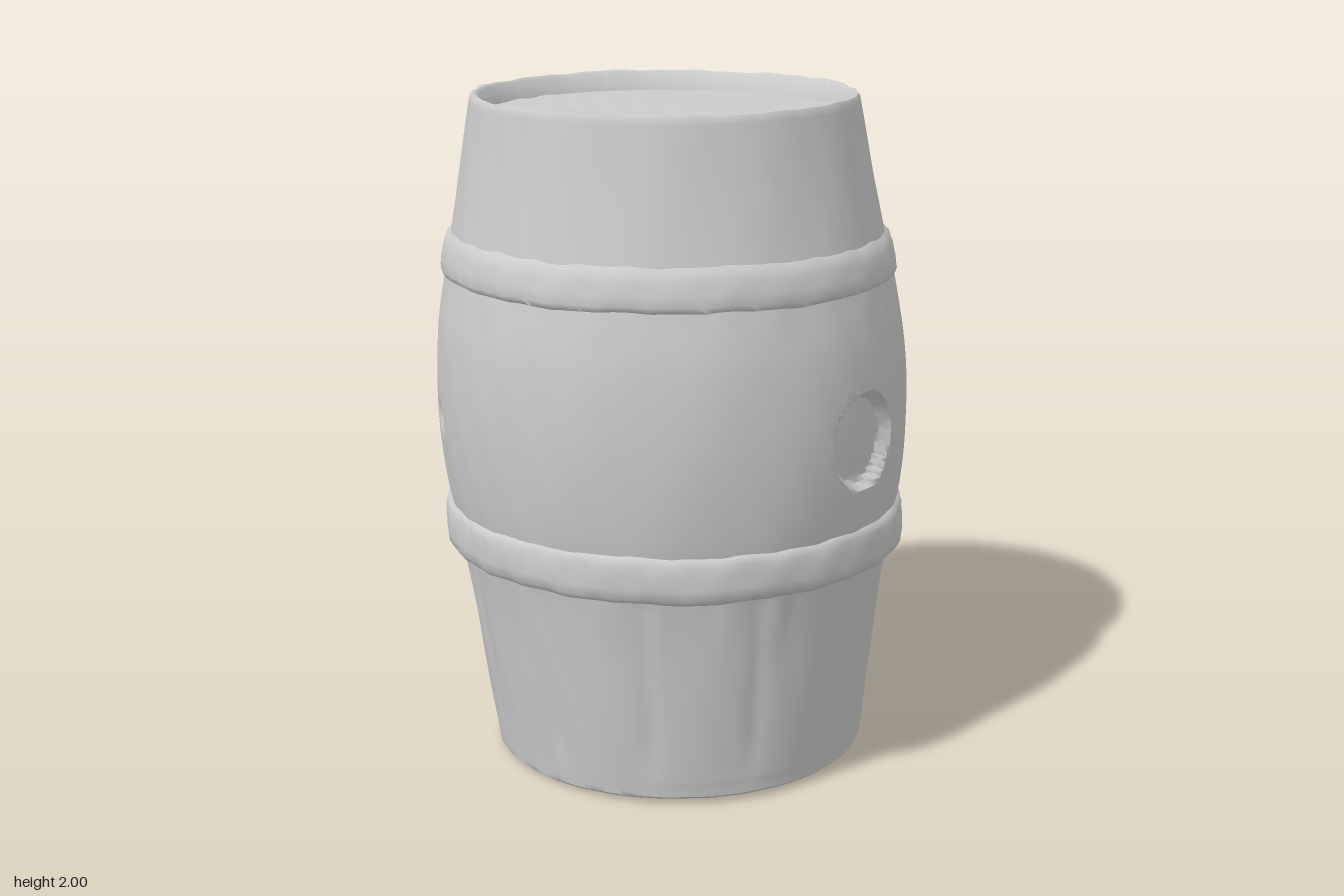
import * as THREE from 'three';
import { mergeVertices, toCreasedNormals } from 'three/addons/utils/BufferGeometryUtils.js';

const SEGMENTS = 240;
const ss = THREE.MathUtils.smoothstep;

// Smooth, repeatable unevenness around the barrel
const wobble = (a, y) =>
  Math.sin(5 * a + 4 * y) * 0.4 + Math.sin(13 * a - 7 * y + 1) * 0.35 + Math.sin(29 * a + 17 * y + 2) * 0.25;

// The barrel leans very slightly
const lean = (v) => v.set(v.x + 0.013 - 0.012 * v.y, v.y, v.z + 0.02 - 0.02 * v.y);

// Revolve a profile, reshape its vertices by a rule, then keep hard edges crisp
function revolve(name, points, rule, crease = 0.7) {
  let geo = new THREE.LatheGeometry(points.map(([r, y]) => new THREE.Vector2(r, y)), SEGMENTS);
  geo.deleteAttribute('uv');
  geo.deleteAttribute('normal');
  geo = mergeVertices(geo, 1e-5);
  const pos = geo.attributes.position;
  const v = new THREE.Vector3();
  for (let i = 0; i < pos.count; i++) {
    v.fromBufferAttribute(pos, i);
    rule(v);
    lean(v);
    pos.setXYZ(i, v.x, v.y, v.z);
  }
  const mesh = new THREE.Mesh(toCreasedNormals(geo, crease), new THREE.MeshStandardMaterial({ color: 0xcccccc }));
  mesh.name = name;
  return mesh;
}

// Change the distance from the axis by an amount depending on angle and height
const radial = (amount) => (v) => {
  const r = Math.hypot(v.x, v.z);
  if (r < 1e-4) return;
  const k = (r + amount(Math.atan2(v.x, v.z), v.y, r, v)) / r;
  v.x *= k;
  v.z *= k;
};

// Round recess sunk into the wall at a given angle and height
function recess(a, y, angle, height, radius, soft, depth) {
  let da = a - angle;
  da = Math.atan2(Math.sin(da), Math.cos(da));
  if (Math.abs(da) > 1) return 0;
  const d = Math.hypot(0.7 * Math.sin(da), y - height);
  return -depth * (1 - ss(d, radius - soft, radius + soft));
}

// Wall radius curve, from the foot to the top rim
const wall = new THREE.CatmullRomCurve3([
  [0.562, 0.02], [0.6, 0.3], [0.647, 0.65], [0.684, 0.84], [0.702, 1.08],
  [0.69, 1.32], [0.66, 1.48], [0.636, 1.6], [0.598, 1.8], [0.566, 1.985],
].map(([r, y]) => new THREE.Vector3(r, y, 0)));

function bodyMesh() {
  const outer = wall.getSpacedPoints(125).map((p) => [p.x, p.y]);
  const profile = [[0.52, 0.07], [0.53, 0.02], [0.54, 0.012], [0.553, 0.012], ...outer,
    [0.56, 1.994], [0.55, 1.995], [0.54, 1.988], [0.522, 1.935]];
  const shape = radial((a, y, r) => {
    if (y < 0.075 && r < 0.545 || y > 1.9 && r < 0.555) return 0;
    // stave joints, strongest below the lower hoop
    const seam = Math.pow(Math.abs(Math.cos(6 * a)), 24);
    const below = ss(y, 0.04, 0.2) * (1 - ss(y, 0.62, 0.7));
    // streaks running down from each hoop
    const streak = Math.max(0, Math.sin(17 * a) * Math.sin(7 * a + 1));
    const drips = streak * (ss(y, 0.42, 0.66) * (1 - ss(y, 0.66, 0.7)) + 0.5 * ss(y, 1.36, 1.47) * (1 - ss(y, 1.47, 1.52)));
    return 0.003 * wobble(a, y) - 0.007 * seam * below + 0.009 * drips
      + recess(a, y, 0, 1.06, 0.134, 0.011, 0.035)
      + recess(a, y, 4.05, 1.06, 0.03, 0.02, 0.025);
  });
  return revolve('barrelBody', profile, (v) => {
    const y = v.y;
    shape(v);
    // uneven foot and rim edges
    const a = Math.atan2(v.x, v.z);
    if (y < 0.06) v.y += 0.008 * Math.cos(a) + 0.003 * wobble(a, 0);
    if (y > 1.97) v.y += 0.004 * wobble(a, 2) + 0.003 * v.x;
  });
}

// Hoops with slightly lumpy faces and ragged edges
function hoopMesh(name, profile, lump) {
  return revolve(name, profile, (v) => {
    const a = Math.atan2(v.x, v.z);
    radial((ang, y) => lump * wobble(ang * 2, y * 6))(v);
    v.y += lump * 1.3 * wobble(a, profile[0][1]);
  }, 0.9);
}

// Lid and base are shallow discs; the lid has one sunken plank
function discProfile(radius, y, facingUp) {
  const pts = Array.from({ length: 31 }, (_, i) => [(radius * i) / 30, y]);
  return facingUp ? pts.reverse() : pts;
}

export function createModel() {
  const barrel = new THREE.Group();
  barrel.name = 'barrel';

  barrel.add(bodyMesh());

  barrel.add(hoopMesh('lowerHoop', [
    [0.63, 0.655], [0.678, 0.66], [0.69, 0.675], [0.694, 0.705],
    [0.692, 0.745], [0.69, 0.772], [0.683, 0.79], [0.665, 0.8],
  ], 0.004));
  barrel.add(hoopMesh('upperHoop', [
    [0.65, 1.472], [0.668, 1.48], [0.673, 1.495], [0.669, 1.525],
    [0.661, 1.56], [0.65, 1.588], [0.63, 1.603],
  ], 0.003));

  barrel.add(revolve('lid', discProfile(0.527, 1.937, true), (v) => {
    const plank = 1 - ss(v.x, -0.29, -0.26);
    const rough = Math.exp(-(v.x * v.x) / 0.01) * Math.sin(40 * v.z) * Math.sin(47 * v.x + 9 * v.z);
    v.y += -0.008 * plank + 0.003 * rough;
  }));
  barrel.add(revolve('base', discProfile(0.525, 0.068, false), () => {}));

  return barrel;
}
